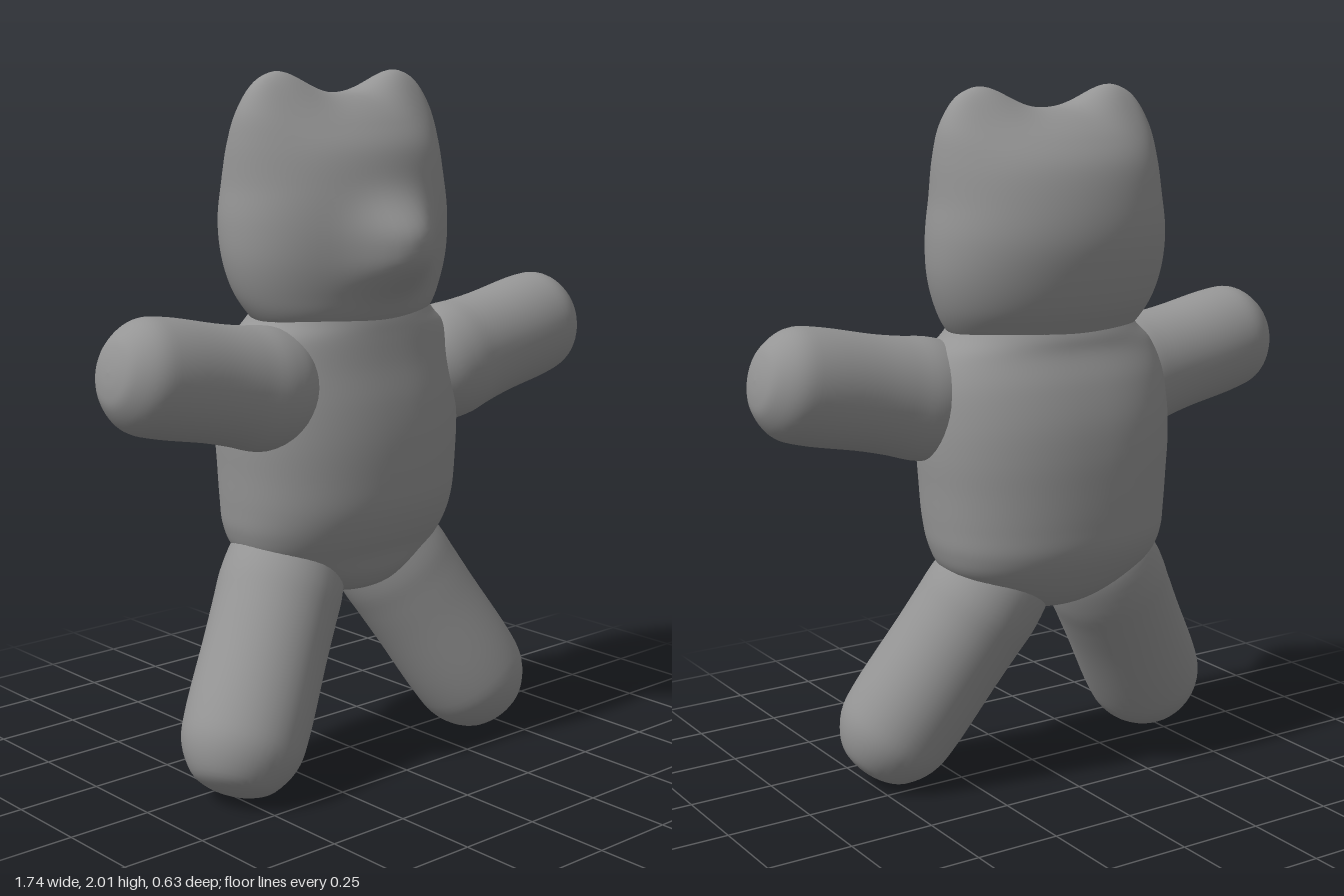
import * as THREE from 'three';

const material = new THREE.MeshStandardMaterial({ color: 0x959595 });

// Smooth body from level rings, bottom to top: [y, half width, front z, back z]
function loft(rows, power, warp) {
  const SEG = 72, STEPS = 72;
  const width = new THREE.CatmullRomCurve3(rows.map(r => new THREE.Vector3(r[1], r[0], 0)), false, 'catmullrom', 0.5);
  const depth = new THREE.CatmullRomCurve3(rows.map(r => new THREE.Vector3(r[2], r[0], r[3])), false, 'catmullrom', 0.5);
  const positions = [], index = [], v = new THREE.Vector3();
  const bow = k => Math.sign(k) * Math.abs(k) ** power;
  for (let j = 0; j <= STEPS; j++) {
    const w = width.getPoint(j / STEPS), d = depth.getPoint(j / STEPS);
    const mid = (d.x + d.z) / 2, half = (d.x - d.z) / 2;
    for (let i = 0; i < SEG; i++) {
      const a = (i / SEG) * Math.PI * 2;
      v.set(Math.max(w.x, 0) * bow(Math.cos(a)), w.y, mid + half * bow(Math.sin(a)));
      if (warp) warp(v);
      positions.push(v.x, v.y, v.z);
      if (j < STEPS) {
        const p = j * SEG + i, q = j * SEG + (i + 1) % SEG;
        index.push(p, p + SEG, q, q, p + SEG, q + SEG);
      }
    }
  }
  const g = new THREE.BufferGeometry();
  g.setAttribute('position', new THREE.Float32BufferAttribute(positions, 3));
  g.setIndex(index);
  g.computeVertexNormals();
  return g;
}

// Rounded limb: a turned profile [radius, distance] laid along a direction
function limb(name, profile, flatten, start, direction) {
  const curve = new THREE.SplineCurve(profile.map(p => new THREE.Vector2(p[0], p[1])));
  const points = curve.getPoints(44);
  points.forEach(p => { p.x = Math.max(p.x, 0); });
  const g = new THREE.LatheGeometry(points, 40);
  g.scale(1, 1, flatten);
  const up = new THREE.Vector3(0, 1, 0);
  g.applyQuaternion(new THREE.Quaternion().setFromUnitVectors(up, new THREE.Vector3(...direction).normalize()));
  g.translate(...start);
  const mesh = new THREE.Mesh(g, material);
  mesh.name = name;
  return mesh;
}

// Pull the rounded snout forward and the two ears up and slightly outward
function shapeHead(v) {
  const bell = (k, centre, size, power) => Math.exp(-(Math.abs((k - centre) / size) ** power));
  if (v.z > 0) v.z += 0.096 * bell(v.x, 0, 0.13, 2.2) * bell(v.y, 1.535, 0.118, 2.6);
  const ear = bell(Math.abs(v.x), 0.23, 0.12, 2.6) * bell(v.z, -0.035, 0.09, 2)
    * THREE.MathUtils.smoothstep(v.y, 1.68, 1.86);
  v.x += Math.sign(v.x) * 0.025 * ear;
  v.y += 0.082 * ear;
}

export function createModel() {
  const bear = new THREE.Group();
  bear.name = 'teddyBear';

  const head = new THREE.Mesh(loft([
    [1.28, 0.24, 0.13, -0.17], [1.34, 0.3, 0.18, -0.22], [1.41, 0.34, 0.2, -0.265],
    [1.5, 0.365, 0.215, -0.295], [1.6, 0.37, 0.22, -0.31], [1.7, 0.36, 0.21, -0.3],
    [1.8, 0.345, 0.18, -0.27], [1.87, 0.315, 0.13, -0.22], [1.92, 0.245, 0.075, -0.16],
    [1.948, 0.14, 0.02, -0.1], [1.955, 0, -0.04, -0.04],
  ], 1, shapeHead), material);
  head.name = 'head';
  head.position.x = -0.02;
  bear.add(head);

  const torso = new THREE.Mesh(loft([
    [0.51, 0, -0.03, -0.03], [0.53, 0.12, 0.09, -0.14], [0.58, 0.23, 0.145, -0.215],
    [0.65, 0.325, 0.175, -0.27], [0.72, 0.36, 0.21, -0.302], [0.8, 0.372, 0.233, -0.31],
    [0.9, 0.38, 0.238, -0.312], [1.0, 0.388, 0.235, -0.31], [1.1, 0.388, 0.222, -0.298],
    [1.2, 0.378, 0.2, -0.27], [1.28, 0.35, 0.185, -0.235], [1.33, 0.3, 0.175, -0.222],
    [1.38, 0.26, 0.16, -0.2],
  ], 0.9), material);
  torso.name = 'torso';
  torso.position.x = -0.015;
  bear.add(torso);

  const armProfile = [[0, -0.06], [0.1, -0.04], [0.16, 0.03], [0.176, 0.11], [0.168, 0.2], [0.163, 0.3],
    [0.163, 0.46], [0.15, 0.545], [0.1, 0.603], [0.05, 0.622], [0, 0.627]];
  const legProfile = [[0, -0.12], [0.1, -0.09], [0.155, -0.01], [0.175, 0.1], [0.175, 0.2], [0.174, 0.32],
    [0.175, 0.52], [0.163, 0.62], [0.117, 0.695], [0.06, 0.725], [0, 0.733]];
  for (const [side, s] of [['left', 1], ['right', -1]]) {
    bear.add(limb(side + 'Arm', armProfile, 0.9, [s * 0.25, 1.13, 0.03], [s * 0.97, 0.2, 0]));
    bear.add(limb(side + 'Leg', legProfile, 1.03, [s * 0.16 - 0.03, 0.65, -0.05], [s * 0.18, -0.3, 0.085]));
  }
  return bear;
}
